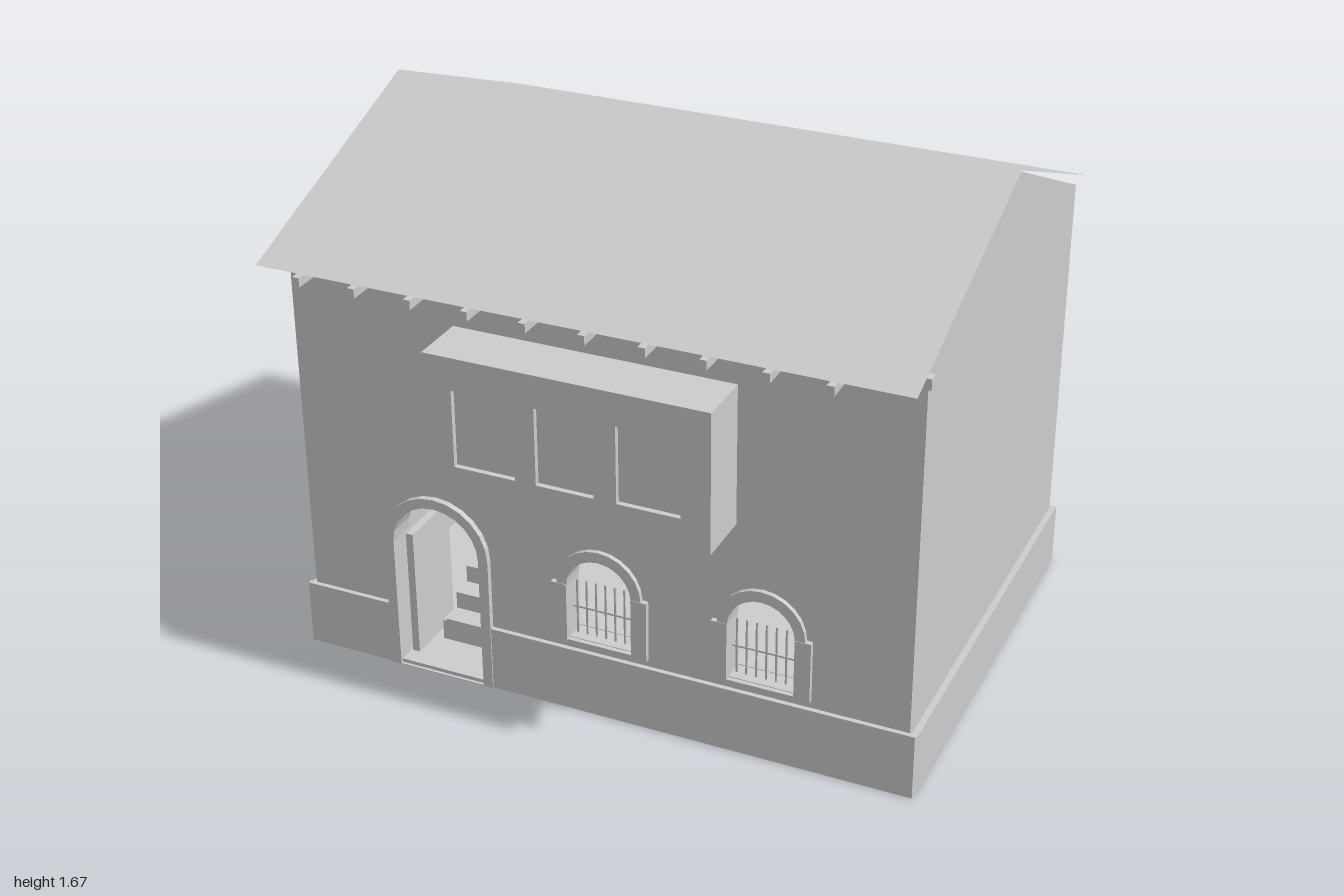
import * as THREE from 'three';

export function createModel() {
  const house = new THREE.Group();
  const plaster = new THREE.MeshStandardMaterial({ color: 0xcccccc, side: THREE.DoubleSide });
  plaster.name = 'pale grey plaster';

  const add = (name, geometry, parent = house) => {
    const mesh = new THREE.Mesh(geometry, plaster);
    mesh.name = name;
    parent.add(mesh);
    return mesh;
  };
  // box given by its limits
  const box = (name, x0, x1, y0, y1, z0, z1, parent) => {
    const g = new THREE.BoxGeometry(x1 - x0, y1 - y0, z1 - z0);
    g.translate((x0 + x1) / 2, (y0 + y1) / 2, (z0 + z1) / 2);
    return add(name, g, parent);
  };
  const polygon = (pts) => new THREE.Shape(pts.map(([x, y]) => new THREE.Vector2(x, y)));
  const rect = (x0, x1, y0, y1) => polygon([[x0, y0], [x1, y0], [x1, y1], [x0, y1]]);
  // round-headed opening
  const arch = (cx, half, y0, spring) => {
    const pts = [[cx - half, y0], [cx + half, y0]];
    for (let i = 0; i <= 12; i++) {
      const a = (i / 12) * Math.PI;
      pts.push([cx + half * Math.cos(a), spring + half * Math.sin(a)]);
    }
    return polygon(pts);
  };
  const extrude = (name, shape, z0, z1, parent) => {
    const g = new THREE.ExtrudeGeometry(shape, { depth: z1 - z0, bevelEnabled: false });
    g.translate(0, 0, z0);
    return add(name, g, parent);
  };

  const FRONT = 0.645, BACK = -0.753, EAVE = 1.355, RIDGE = 1.668, RIDGE_Z = -0.053;
  const door = { x: -0.5325, outer: 0.1775, inner: 0.145, spring: 0.4475 };
  const windowXs = [0.01, 0.525];

  // Walls: an outer and an inner shell, the front of each pierced by the openings
  const shell = (name, halfX, front, back, eave, ridge) => {
    const wall = rect(-halfX, halfX, 0, eave);
    wall.holes.push(arch(door.x, door.inner, 0.002, door.spring));
    windowXs.forEach((x) => wall.holes.push(arch(x, 0.105, 0.25, 0.435)));
    add(name + 'FrontWall', new THREE.ShapeGeometry(wall)).position.z = front;
    const rear = new THREE.ShapeGeometry(rect(-halfX, halfX, 0, eave));
    rear.rotateY(Math.PI);
    add(name + 'BackWall', rear).position.z = back;
    for (const side of [-1, 1]) {
      const pts = [[front, 0], [front, eave], [RIDGE_Z, ridge], [back, eave], [back, 0]];
      const g = new THREE.ShapeGeometry(polygon(pts.map(([z, y]) => [-side * z, y])));
      g.rotateY(side * Math.PI / 2);
      add(name + 'GableWall', g).position.x = side * halfX;
    }
  };
  shell('outer', 0.98, FRONT, BACK, EAVE, RIDGE);
  shell('inner', 0.93, FRONT - 0.07, BACK + 0.065, 1.3, 1.58);
  box('floor', -0.93, 0.93, 0.002, 0.012, BACK + 0.065, FRONT - 0.07);

  // Plinth, interrupted at the doorway
  const doorL = door.x - door.outer, doorR = door.x + door.outer;
  box('plinthFrontLeft', doorR, 1, 0, 0.213, FRONT, 0.66);
  box('plinthFrontRight', -1, doorL, 0, 0.213, FRONT, 0.66);
  box('plinthBack', -1, 1, 0, 0.2, -0.766, BACK);
  box('plinthLeft', 0.985, 1, 0, 0.2, BACK, FRONT);
  box('plinthRight', -1, -0.985, 0, 0.2, BACK, FRONT);
  for (const s of [-1, 1]) box('plinthLedge', s * 0.9925 - 0.0125, s * 0.9925 + 0.0075, 0.19, 0.2, BACK, FRONT);

  // Thin roof slopes
  const slope = (name, z, y) => {
    const g = new THREE.PlaneGeometry(1.996, 1);
    const p = g.attributes.position;
    for (let i = 0; i < p.count; i++) {
      const top = (p.getY(i) > 0) === (z > 0);
      // swapping top and bottom on the rear slope keeps the face outward
      p.setXYZ(i, p.getX(i), top ? RIDGE + 0.002 : y, top ? RIDGE_Z : z);
    }
    g.computeVertexNormals();
    add(name, g);
  };
  slope('frontRoof', 0.79, 1.36);
  slope('backRoof', -0.83, 1.36);

  // Eaves beam and rafter ends
  box('eavesBeam', -0.998, 0.998, 1.326, 1.36, 0.64, 0.674);
  for (let i = 0; i < 10; i++) {
    const x = -0.87 + i * 0.181;
    box('rafterEnd', x - 0.011, x + 0.011, 1.314, 1.343, FRONT, 0.785);
  }

  // Projecting bay with three recessed panes
  const bay = new THREE.Group();
  bay.name = 'bay';
  house.add(bay);
  box('bayBody', -0.443, 0.44, 0.77, 1.213, FRONT, 0.81, bay);
  const bayFace = rect(-0.443, 0.44, 0.77, 1.213);
  [[-0.355, -0.16], [-0.095, 0.085], [0.155, 0.35]].forEach(([a, b]) =>
    bayFace.holes.push(rect(a, b, 0.865, 1.11)));
  extrude('bayFace', bayFace, 0.81, 0.827, bay);

  // Door surround, threshold and leaf standing open
  const surround = arch(door.x, door.outer, 0, door.spring);
  surround.holes.push(arch(door.x, door.inner, 0.002, door.spring));
  extrude('doorSurround', surround, FRONT - 0.07, 0.664);
  box('threshold', door.x - door.inner, door.x + door.inner, 0, 0.014, 0.575, 0.655);
  box('doorLeaf', -0.672, -0.648, 0.012, 0.44, 0.38, 0.6);

  // Stairs inside the doorway
  for (let i = 0; i < 10; i++) {
    const y = 0.03 + i * 0.058;
    box('stairStep', -0.605, -0.385, y - 0.02, y + 0.058, 0.43 - i * 0.07, 0.5 - i * 0.07);
  }
  box('stairString', -0.617, -0.605, 0.012, 0.08, -0.2, 0.5);

  // Arched windows with surround and iron bars
  windowXs.forEach((x) => {
    const win = new THREE.Group();
    win.name = 'archedWindow';
    win.position.x = x;
    house.add(win);
    const trim = arch(0, 0.137, 0.238, 0.438);
    trim.holes.push(arch(0, 0.105, 0.248, 0.435));
    extrude('windowSurround', trim, FRONT - 0.07, 0.66, win);
    for (const s of [-1, 1]) {
      box('windowJamb', s * 0.13 - 0.025, s * 0.13 + 0.025, 0.238, 0.44, FRONT, 0.662, win);
    }
    for (let i = 0; i < 7; i++) {
      const bx = -0.093 + i * 0.031;
      box('windowBar', bx - 0.003, bx + 0.003, 0.248, 0.435, 0.607, 0.613, win);
    }
    box('windowCrossBar', -0.105, 0.105, 0.337, 0.343, 0.606, 0.614, win);
  });

  return house;
}
